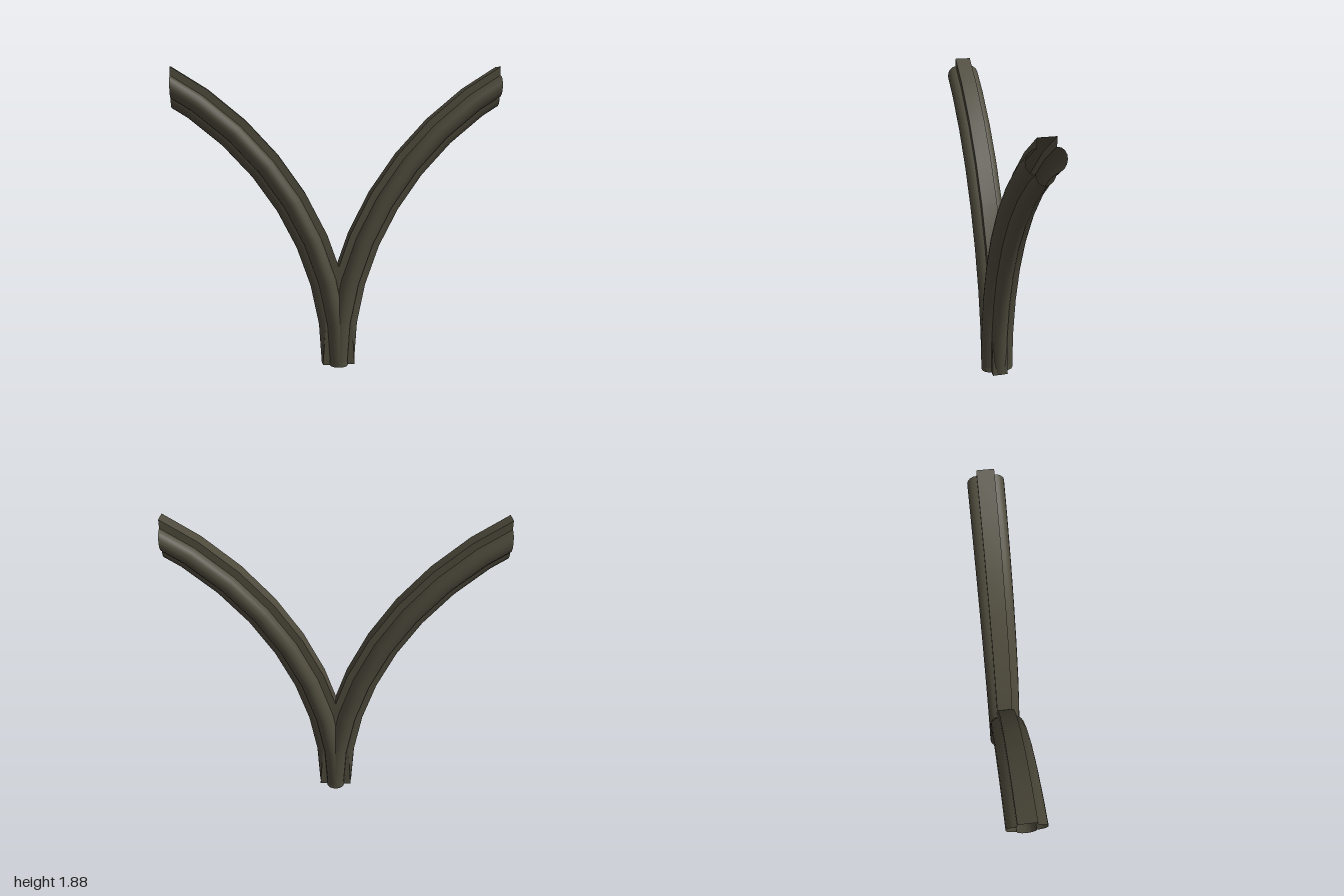
import * as THREE from 'three';
import { mergeGeometries } from 'three/addons/utils/BufferGeometryUtils.js';

const CENTRE_X = 2.055;   // centre of the right arc, on the ground
const RADIUS = 1.95;      // inner face of the rib
const STEP = THREE.MathUtils.degToRad(7.7);
const RINGS = 8;

// Points on a round moulding: [z, depth from the inner face]
function roll(cz, cd, r, from, to, n) {
  return Array.from({ length: n + 1 }, (_, i) => {
    const a = from + (to - from) * i / n;
    return [cz + r * Math.cos(a), cd + r * Math.sin(a)];
  });
}

// The moulded section, split where its edges are sharp
const H = Math.PI / 2;
const strips = {
  backFillet: [[-0.05, 0.207], [0.05, 0.207]],
  leftFillet: [[0.05, 0.207], [0.05, 0.163]],
  leftRoll: roll(0.05, 0.107, 0.056, H, -H, 8),
  innerRoll: roll(0, 0.051, 0.051, 0, -2 * H, 8),
  rightRoll: roll(-0.05, 0.107, 0.056, 3 * H, H, 8),
  rightFillet: [[-0.05, 0.163], [-0.05, 0.207]],
};

// Point on the arc for one ring; the last ring is cut upright at x = 1
function arcPoint(ring, depth) {
  const at = (k) => [CENTRE_X - (RADIUS + depth) * Math.cos(k * STEP), (RADIUS + depth) * Math.sin(k * STEP)];
  if (ring < RINGS) return at(ring);
  const [x0, y0] = at(RINGS - 1), [x1, y1] = at(RINGS);
  return [1, y0 + (y1 - y0) * (1 - x0) / (x1 - x0)];
}

// Sweep one strip of the section along the arc, side = 1 or -1
function sweep(profile, side) {
  const positions = [], index = [], n = profile.length;
  for (let i = 0; i <= RINGS; i++) {
    for (const [z, d] of profile) {
      const [x, y] = arcPoint(i, d);
      positions.push(side * x, y, z);
    }
  }
  for (let i = 0; i < RINGS; i++) {
    for (let j = 0; j < n - 1; j++) {
      const a = i * n + j, b = a + 1, c = a + n, e = c + 1;
      if (side > 0) index.push(a, b, c, b, e, c);
      else index.push(a, c, b, b, c, e);
    }
  }
  const geometry = new THREE.BufferGeometry();
  geometry.setAttribute('position', new THREE.Float32BufferAttribute(positions, 3));
  geometry.setIndex(index);
  geometry.computeVertexNormals();
  return geometry;
}

export function createModel() {
  const group = new THREE.Group();
  group.name = 'vaultRibs';
  const stone = new THREE.MeshStandardMaterial({ color: 0x4e4a3c, side: THREE.DoubleSide });
  stone.name = 'dark stone';

  // Two mirrored ribs springing from one foot, open at the ends
  for (const side of [1, -1]) {
    const parts = Object.values(strips).map((profile) => sweep(profile, side));
    const rib = new THREE.Mesh(mergeGeometries(parts), stone);
    rib.name = side > 0 ? 'leftRib' : 'rightRib';
    group.add(rib);
  }
  return group;
}
